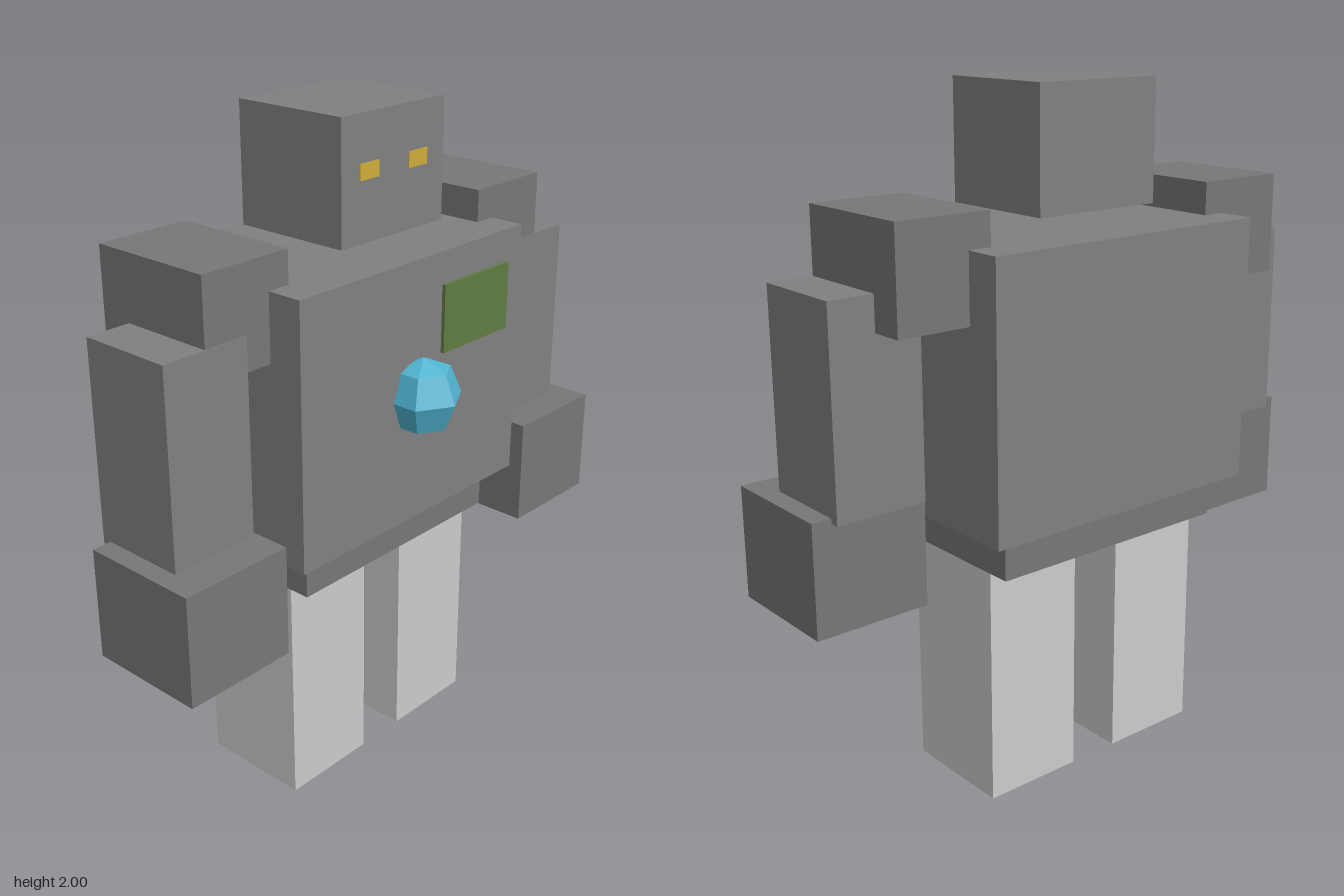
import * as THREE from 'three';

const paint = (color) => new THREE.MeshStandardMaterial({ color, flatShading: true });

export function createModel() {
  const model = new THREE.Group();
  const stone = paint(0x808080);
  const darkStone = paint(0x777777);
  const legGrey = paint(0xcccccc);
  const moss = paint(0x607b43);
  const crystal = paint(0x4fb3d0);
  const glow = paint(0xd0ad3a);

  // Box given by its [min, max] range on each axis
  function block(name, material, [x0, x1], [y0, y1], [z0, z1]) {
    const mesh = new THREE.Mesh(new THREE.BoxGeometry(x1 - x0, y1 - y0, z1 - z0), material);
    mesh.position.set((x0 + x1) / 2, (y0 + y1) / 2, (z0 + z1) / 2);
    mesh.name = name;
    model.add(mesh);
  }

  // The same block on both sides of the body
  function pair(name, material, [x0, x1], y, z) {
    block(`left${name}`, material, [x0, x1], y, z);
    block(`right${name}`, material, [-x1, -x0], y, z);
  }

  // Trunk and head
  block('torso', stone, [-0.46, 0.46], [0.83, 1.605], [-0.37, 0.23]);
  block('waist', darkStone, [-0.39, 0.39], [0.705, 0.86], [-0.31, 0.17]);
  block('head', stone, [-0.205, 0.205], [1.655, 2], [-0.235, 0.135]);
  pair('Eye', glow, [0.06, 0.135], [1.825, 1.87], [0.1, 0.137]);

  // Limbs
  pair('Shoulder', darkStone, [0.39, 0.68], [1.41, 1.7], [-0.262, 0.123]);
  pair('Arm', stone, [0.542, 0.815], [0.928, 1.51], [-0.163, 0.125]);
  pair('Hand', darkStone, [0.525, 0.873], [0.615, 0.942], [-0.135, 0.23]);
  pair('Leg', legGrey, [0.08, 0.388], [0, 0.78], [-0.24, 0.105]);

  // Moss patch on the chest
  block('mossPatch', moss, [0.1, 0.39], [1.31, 1.51], [0.2, 0.241]);

  // Faceted crystal core, one edge facing forward
  const core = new THREE.Mesh(new THREE.SphereGeometry(0.115, 6, 4), crystal);
  core.rotation.y = Math.PI / 2;
  core.position.set(0, 1.215, 0.25);
  core.name = 'crystalCore';
  model.add(core);

  return model;
}
